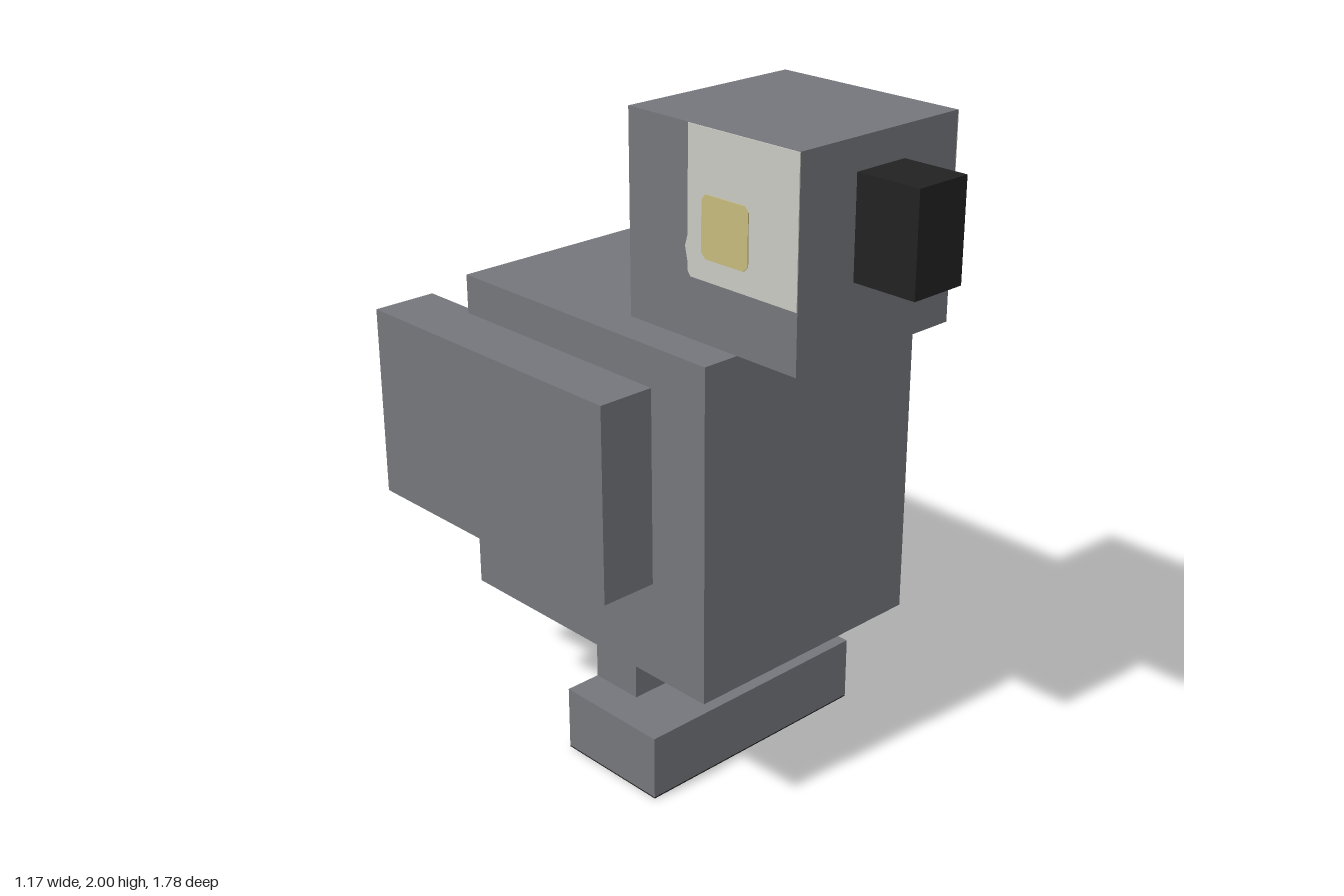
import * as THREE from 'three';

const mat = (name, color, flags) => Object.assign(new THREE.MeshStandardMaterial({ color }), { name });

export function createModel() {
  const grey = mat('plumage grey', 0x75767b);
  const black = mat('beak black', 0x222222);
  const red = mat('tail red', 0xb53132);
  const pale = mat('face white', 0xc9c9c4);
  const yellow = mat('eye yellow', 0xc5ba7c);

  const model = new THREE.Group();
  model.name = 'blockBird';

  // Box given by its extents on each axis
  function box(name, material, [x0, x1], [y0, y1], [z0, z1]) {
    const mesh = new THREE.Mesh(new THREE.BoxGeometry(x1 - x0, y1 - y0, z1 - z0), material);
    mesh.position.set((x0 + x1) / 2, (y0 + y1) / 2, (z0 + z1) / 2);
    mesh.name = name;
    model.add(mesh);
    return mesh;
  }

  // Thin plate cut from an outline
  function plate(name, material, points, depth) {
    const shape = new THREE.Shape(points.map(([x, y]) => new THREE.Vector2(x, y)));
    const mesh = new THREE.Mesh(new THREE.ExtrudeGeometry(shape, { depth, bevelEnabled: false }), material);
    mesh.name = name;
    model.add(mesh);
    return mesh;
  }

  // Rectangle outline with cut corners
  const chamfered = (x0, x1, y0, y1, c) => [
    [x0 + c, y0], [x1 - c, y0], [x1, y0 + c], [x1, y1 - c],
    [x1 - c, y1], [x0 + c, y1], [x0, y1 - c], [x0, y0 + c],
  ];

  // Body, head and beak
  box('body', grey, [-0.41, 0.41], [0.415, 1.415], [-0.515, 0.48]);
  box('head', grey, [-0.295, 0.295], [1.415, 2], [0.07, 0.69]);
  box('beak', black, [-0.09, 0.09], [1.62, 1.91], [0.69, 0.893]);

  // Tail slopes down and back out of the body
  const tail = new THREE.Mesh(new THREE.BoxGeometry(0.59, 0.2, 0.6), red);
  tail.name = 'tail';
  tail.rotation.x = -Math.PI / 6;
  tail.position.set(0, 0.888 + 0.15, -0.84 + 0.26);
  model.add(tail);

  // Joined feet with a dark, patched sole
  box('feet', grey, [-0.41, 0.41], [0.007, 0.205], [-0.105, 0.275]);
  box('sole', black, [-0.41, 0.41], [0.003, 0.007], [-0.105, 0.275]);

  const facePatch = [
    [0.69, 1.999], [0.3, 1.999], [0.297, 1.7], [0.288, 1.67],
    [0.297, 1.63], [0.297, 1.605], [0.308, 1.59], [0.69, 1.59],
  ];
  const eyePatch = chamfered(0.352, 0.52, 1.652, 1.825, 0.015);

  for (const s of [1, -1]) {
    const side = s > 0 ? 'left' : 'right';
    const span = (a, b) => (s > 0 ? [a, b] : [-b, -a]);

    box(side + 'Wing', grey, span(0.385, 0.587), [0.71, 1.297], [-0.725, 0.275]);
    box(side + 'Leg', grey, span(0.088, 0.295), [0.205, 0.415], [-0.105, 0.07]);

    // Face and eye markings on the side of the head
    for (const [name, material, outline, depth] of [
      ['FacePatch', pale, facePatch, 0.003],
      ['Eye', yellow, eyePatch, 0.006],
    ]) {
      const mark = plate(side + name, material, outline.map(([z, y]) => [-s * z, y]), depth);
      mark.rotation.y = s * Math.PI / 2;
      mark.position.x = s * 0.295;
    }

    // Pad under each foot
    const pad = plate(side + 'FootPad', grey, chamfered(...span(0.045, 0.37), -0.095, 0.225, 0.05), 0.003);
    pad.rotation.x = Math.PI / 2;
    pad.position.y = 0.003;
  }

  // Dark crease on the left foot pad
  box('padCrease', black, [0.22, 0.255], [0, 0.002], [-0.06, 0.07]).position.y = 0.0005;

  return model;
}
